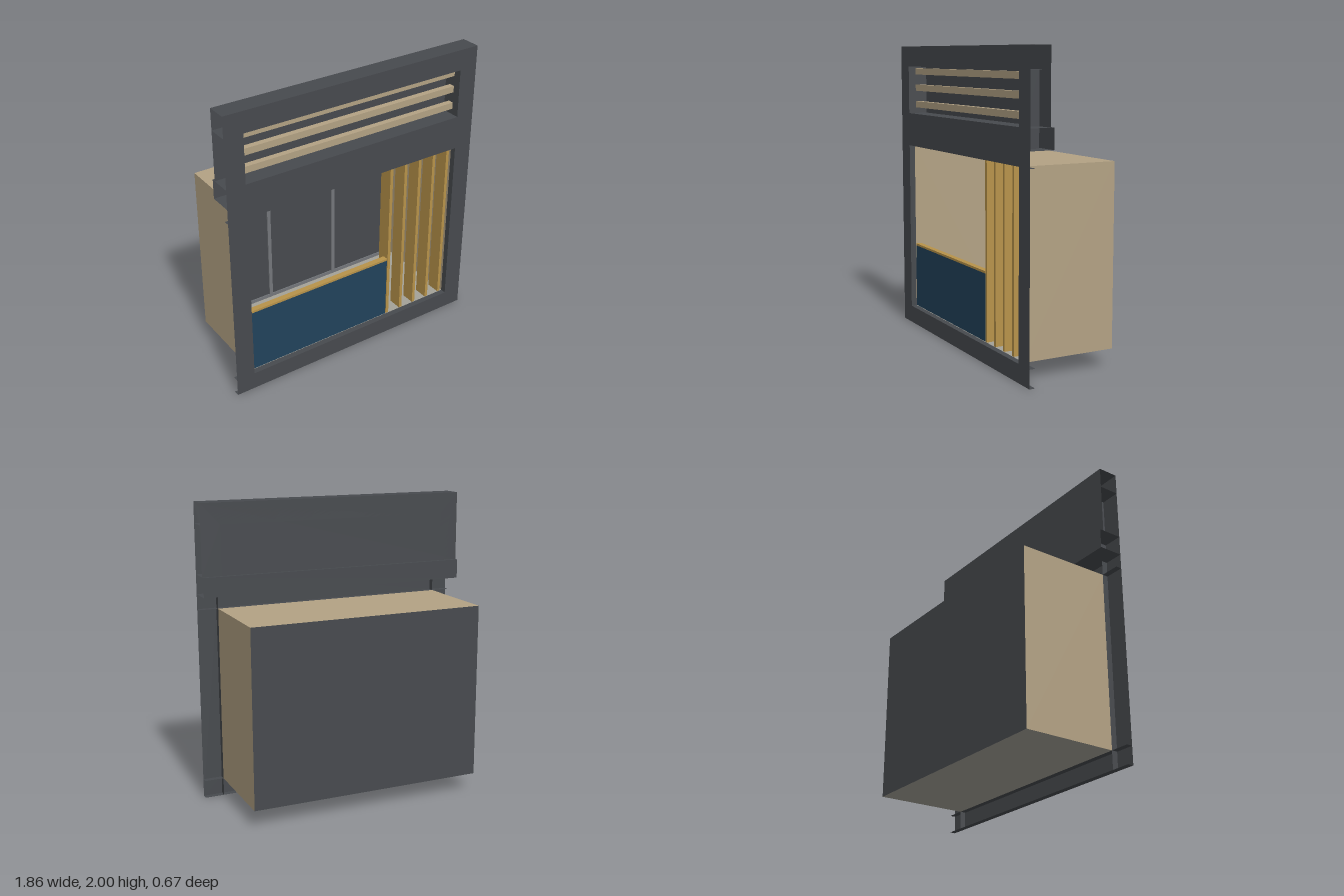
import * as THREE from 'three';

const mat = (name, color) => {
  const m = new THREE.MeshStandardMaterial({ color, side: THREE.DoubleSide });
  m.name = name;
  return m;
};

export function createModel() {
  const model = new THREE.Group();
  model.name = 'facadeBay';
  const charcoal = mat('charcoal', 0x474a4e);
  const tan = mat('tan', 0xb3a284);
  const blue = mat('navyBlue', 0x21425b);
  const gold = mat('gold', 0xb8934a);
  const grey = mat('grey', 0x74777b);
  const floorGrey = mat('floorGrey', 0xa4a298);

  const add = (name, geometry, material, parent = model) => {
    const mesh = new THREE.Mesh(geometry, material);
    mesh.name = name;
    parent.add(mesh);
    return mesh;
  };
  const group = (name) => {
    const g = new THREE.Group();
    g.name = name;
    model.add(g);
    return g;
  };
  // Solid bar given by its limits on each axis
  const bar = (name, x0, x1, y0, y1, z0, z1, material, parent) =>
    add(name, new THREE.BoxGeometry(x1 - x0, y1 - y0, z1 - z0), material, parent)
      .position.set((x0 + x1) / 2, (y0 + y1) / 2, (z0 + z1) / 2);
  // Thin sheets: level, facing sideways, facing forwards
  const level = (name, w, y, z0, z1, material, parent) => {
    const m = add(name, new THREE.PlaneGeometry(2 * w, z1 - z0).rotateX(-Math.PI / 2), material, parent);
    m.position.set(0, y, (z0 + z1) / 2);
  };
  const upright = (name, x, y0, y1, z0, z1, material, parent) => {
    const m = add(name, new THREE.PlaneGeometry(z1 - z0, y1 - y0).rotateY(Math.sign(x) * Math.PI / 2), material, parent);
    m.position.set(x, (y0 + y1) / 2, (z0 + z1) / 2);
  };
  const rect = (Type, x0, x1, y0, y1) =>
    new Type([[x0, y0], [x1, y0], [x1, y1], [x0, y1]].map(([x, y]) => new THREE.Vector2(x, y)));
  const sheet = (name, y0, y1, z, holes, parent) => {
    const shape = rect(THREE.Shape, -W, W, y0, y1);
    for (const [a, b] of holes) shape.holes.push(rect(THREE.Path, -H, H, a, b));
    add(name, new THREE.ShapeGeometry(shape), charcoal, parent).position.z = z;
  };

  const W = 0.93, H = 0.8;                      // half widths of facade and openings
  const FRONT = 0.335, MID = 0.295, BACK = 0.2, BEAM = 0.175;

  // Facade frame: open-ended sheets with folded flanges
  const frame = group('facadeFrame');
  sheet('frontPlate', 0, 2, FRONT, [[0.12, 1.3], [1.53, 1.86]], frame);
  const upper = rect(THREE.Shape, -W, W, 1.53, 2);
  upper.setFromPoints([[-W, 1.53], [-H, 1.53], [-H, 1.86], [H, 1.86], [H, 1.53], [W, 1.53], [W, 2], [-W, 2]]
    .map(([x, y]) => new THREE.Vector2(x, y)));
  add('upperBackPlate', new THREE.ShapeGeometry(upper), charcoal, frame).position.z = BACK;
  sheet('beamBackPlate', 1.4, 1.53, BEAM, [], frame);
  for (const [y, z] of [[0, MID], [0.12, MID], [1.3, MID], [1.4, BEAM], [1.53, BEAM], [1.86, BACK], [2, BACK]])
    level('flange', W, y, z, FRONT, charcoal, frame);
  for (const x of [-H, H]) {
    upright('lowerReveal', x, 0, 1.4, MID, FRONT, charcoal, frame);
    upright('upperReveal', x, 1.4, 1.86, BACK, FRONT, charcoal, frame);
  }

  // Slats in the upper opening
  const slats = group('louvreSlats');
  for (const y of [1.592, 1.71, 1.825])
    bar('slat', -H + 0.001, H - 0.001, y - 0.022, y + 0.022, 0.243, 0.283, tan, slats);

  // Room box behind the lower opening
  const room = group('roomBox');
  const REAR = -0.335;
  for (const x of [-H, H]) upright('sideWall', x, 0.12, 1.3, REAR, MID, tan, room);
  level('ceiling', H, 1.3, REAR, MID, tan, room);
  level('floor', H, 0.12, REAR, MID, floorGrey, room);
  const rear = add('rearGlazing', new THREE.PlaneGeometry(2 * H, 1.18), charcoal, room);
  rear.position.set(0, 0.71, REAR);

  // Glazing bars on the rear wall
  const bars = group('glazingBars');
  const Z0 = REAR + 0.002, Z1 = REAR + 0.01;
  for (const x of [-0.786, -0.268, 0.268, 0.786])
    bar('mullion', x - 0.013, x + 0.013, 0.122, 1.298, Z0, Z1, grey, bars);
  for (const y of [0.135, 1.286])
    bar('rail', -0.798, 0.798, y - 0.013, y + 0.012, Z0, Z1 - 0.001, grey, bars);

  // Balustrade panel with handrail
  bar('balustradePanel', -0.798, 0.29, 0.122, 0.567, 0.272, 0.294, blue);
  bar('handrail', -0.798, 0.29, 0.567, 0.582, 0.255, 0.294, gold);

  // Vertical fins
  const fins = group('verticalFins');
  for (let i = 0; i < 5; i++) {
    const x = 0.306 + i * 0.117;
    bar('fin', x - 0.011, x + 0.011, 0.122, 1.298, 0.195, 0.294, gold, fins);
  }
  return model;
}
